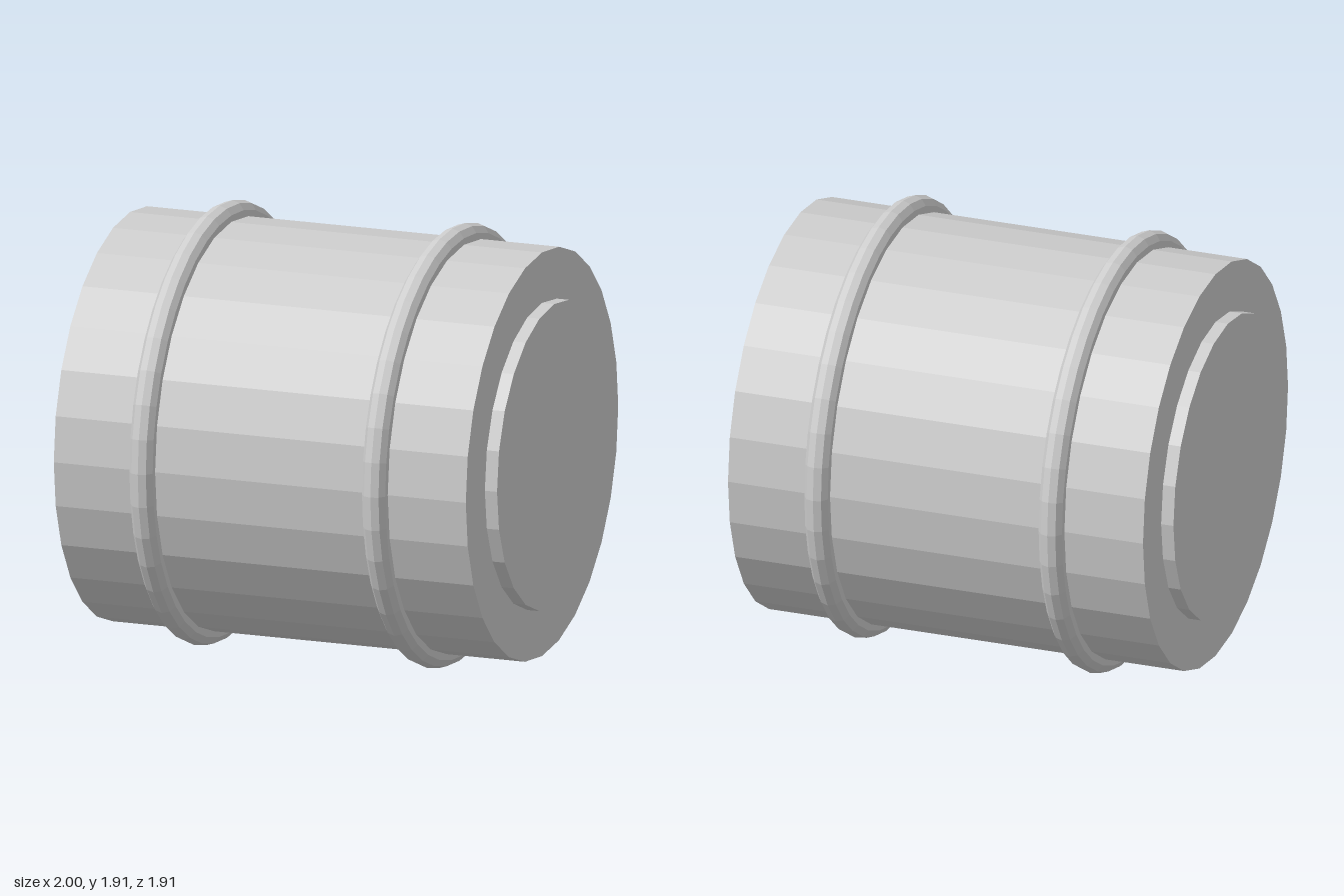
import * as THREE from 'three';

export function createModel() {
  const group = new THREE.Group();
  const material = new THREE.MeshStandardMaterial({ color: 0xcccccc, flatShading: true });
  const centerY = 0.956;

  const add = (name, geometry, x = 0) => {
    const mesh = new THREE.Mesh(geometry, material);
    mesh.name = name;
    mesh.position.set(x, centerY, 0);
    group.add(mesh);
  };

  // Cylinder lying along x
  const drum = (radius, length, sides) =>
    new THREE.CylinderGeometry(radius, radius, length, sides).rotateZ(Math.PI / 2);

  add('barrelBody', drum(0.889, 1.888, 28));

  // Raised end discs and hoops, mirrored left and right
  for (const [side, s] of [['left', 1], ['right', -1]]) {
    add(side + 'EndDisc', drum(0.667, 0.08, 24), s * 0.96);
    add(side + 'Hoop', new THREE.TorusGeometry(0.9, 0.056, 10, 40).rotateY(Math.PI / 2), s * 0.533);
  }

  return group;
}
